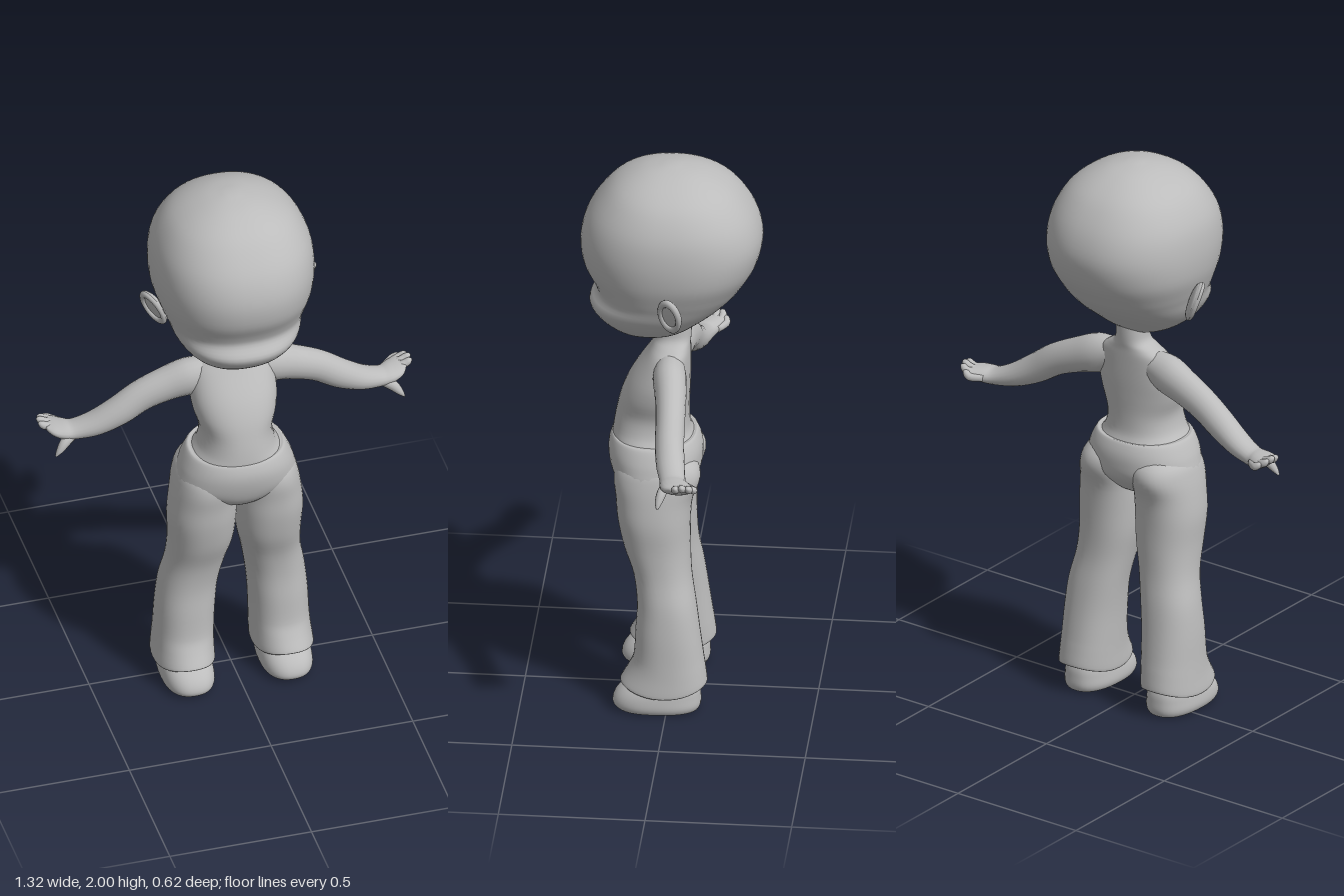
import * as THREE from 'three';

const clay = new THREE.MeshStandardMaterial({ color: 0xbcbcbc });
clay.name = 'clay grey';

// Smoothly interpolate rows of numbers, `steps` samples between rows
function smoothRows(rows, steps = 4) {
  const out = [];
  const at = (i) => rows[Math.min(rows.length - 1, Math.max(0, i))];
  for (let i = 0; i < rows.length - 1; i++) {
    for (let k = 0; k < steps; k++) {
      const t = k / steps;
      out.push(rows[i].map((p, j) => {
        const q = at(i + 1)[j], m0 = (q - at(i - 1)[j]) / 2, m1 = (at(i + 2)[j] - p) / 2;
        const c = 3 * (q - p) - 2 * m0 - m1, d = 2 * (p - q) + m0 + m1;
        return p + t * (m0 + t * (c + t * d));
      }));
    }
  }
  out.push(rows[rows.length - 1]);
  return out;
}

function flip(geo) {
  const a = geo.index.array;
  for (let i = 0; i < a.length; i += 3) [a[i], a[i + 1]] = [a[i + 1], a[i]];
  return geo;
}

// Skin a closed surface over rings of Vector3, facing outward
function skin(rings) {
  const n = rings[0].length, pts = rings.flat(), idx = [];
  for (let r = 0; r < rings.length - 1; r++) {
    for (let i = 0; i < n; i++) {
      const a = r * n + i, b = r * n + (i + 1) % n;
      idx.push(a, b, a + n, b, b + n, a + n);
    }
  }
  [0, rings.length - 1].forEach((r) => {
    const mid = new THREE.Vector3();
    rings[r].forEach((p) => mid.addScaledVector(p, 1 / n));
    const c = pts.push(mid) - 1;
    for (let i = 0; i < n; i++) {
      const a = r * n + i, b = r * n + (i + 1) % n;
      if (r === 0) idx.push(c, b, a); else idx.push(c, a, b);
    }
  });
  let volume = 0;
  const cross = new THREE.Vector3();
  for (let i = 0; i < idx.length; i += 3) {
    volume += pts[idx[i]].dot(cross.crossVectors(pts[idx[i + 1]], pts[idx[i + 2]]));
  }
  const geo = new THREE.BufferGeometry().setFromPoints(pts);
  geo.setIndex(idx);
  if (volume < 0) flip(geo);
  geo.computeVertexNormals();
  return geo;
}

const spow = (v, e) => Math.sign(v) * Math.abs(v) ** e;

// Upright body; rows: y, centre x, half width, back z, front z, z of widest point
function upright(rows, power = 2.2, lift = () => 0, sides = 40) {
  return skin(smoothRows(rows).map(([y, cx, hx, zb, zf, zc]) =>
    Array.from({ length: sides }, (_, i) => {
      const a = (i / sides) * Math.PI * 2;
      const s = spow(Math.sin(a), 2 / power);
      return new THREE.Vector3(cx + hx * spow(Math.cos(a), 2 / power),
        y + lift(y, s), zc + s * (s > 0 ? zf - zc : zc - zb));
    })));
}

// Limb; rows: x, y, z, radius across the limb in the xy plane, radius along z
function limb(rows, sides = 20) {
  const path = smoothRows(rows);
  return skin(path.map(([x, y, z, ru, rz], k) => {
    const p = path[Math.max(0, k - 1)], q = path[Math.min(path.length - 1, k + 1)];
    const len = Math.hypot(q[0] - p[0], q[1] - p[1]) || 1;
    const ux = -(q[1] - p[1]) / len, uy = (q[0] - p[0]) / len;
    return Array.from({ length: sides }, (_, i) => {
      const a = (i / sides) * Math.PI * 2, u = ru * Math.cos(a);
      return new THREE.Vector3(x + ux * u, y + uy * u, z + rz * Math.sin(a));
    });
  }));
}

export function createModel() {
  const model = new THREE.Group();
  model.name = 'figure';
  const add = (name, geo) => {
    const mesh = new THREE.Mesh(geo, clay);
    mesh.name = name;
    model.add(mesh);
  };
  const addPair = (name, geo) => {
    add('left' + name, geo);
    const other = flip(geo.clone().scale(-1, 1, 1));
    other.computeVertexNormals();
    add('right' + name, other);
  };

  // Large head with a small muzzle
  add('head', upright([
    [2.0, 0, 0.02, -0.02, 0.02, 0], [1.985, 0, 0.09, -0.1, 0.1, 0],
    [1.95, 0, 0.165, -0.175, 0.175, 0], [1.9, 0, 0.222, -0.235, 0.23, 0],
    [1.82, 0, 0.264, -0.288, 0.285, 0], [1.73, 0, 0.277, -0.31, 0.31, 0],
    [1.64, 0, 0.27, -0.29, 0.3, 0], [1.57, 0, 0.248, -0.25, 0.265, 0.02],
    [1.53, 0, 0.232, -0.22, 0.255, 0.03], [1.485, 0, 0.215, -0.175, 0.28, 0.05],
    [1.44, 0, 0.185, -0.12, 0.255, 0.06], [1.4, 0, 0.142, -0.07, 0.21, 0.07],
    [1.37, 0, 0.085, -0.02, 0.165, 0.08], [1.358, 0, 0.03, 0.06, 0.12, 0.09],
  ], 2.25, undefined, 56));

  // Ears: thin cupped disc with a raised rim
  const earPose = new THREE.Matrix4().compose(
    new THREE.Vector3(0.262, 1.553, -0.02),
    new THREE.Quaternion().setFromEuler(new THREE.Euler(0, -0.55, -0.4, 'ZYX')),
    new THREE.Vector3(1, 1, 1));
  addPair('Ear', new THREE.SphereGeometry(1, 24, 16).scale(0.014, 0.072, 0.045).applyMatrix4(earPose));
  addPair('EarRim', new THREE.TorusGeometry(0.04, 0.01, 10, 32).rotateY(Math.PI / 2)
    .scale(1.2, 1.6, 0.95).translate(0.008, 0, 0).applyMatrix4(earPose));

  // Neck and torso
  add('torso', upright([
    [1.46, 0, 0.056, -0.065, 0.05, -0.01], [1.38, 0, 0.055, -0.067, 0.048, -0.01],
    [1.34, 0, 0.062, -0.066, 0.052, -0.01], [1.315, 0, 0.095, -0.064, 0.064, -0.01],
    [1.28, 0, 0.135, -0.064, 0.085, 0], [1.2, 0, 0.15, -0.064, 0.138, 0.02],
    [1.13, 0, 0.143, -0.062, 0.17, 0.04], [1.06, 0, 0.124, -0.06, 0.188, 0.05],
    [1.0, 0, 0.133, -0.064, 0.198, 0.06], [0.96, 0, 0.158, -0.08, 0.2, 0.06],
    [0.92, 0, 0.16, -0.08, 0.19, 0.06],
  ]));

  // Arms, slightly raised, with open hands
  addPair('Arm', limb([
    [0.06, 1.265, 0, 0.045, 0.045], [0.14, 1.243, -0.005, 0.068, 0.058],
    [0.22, 1.217, -0.015, 0.062, 0.054], [0.31, 1.178, -0.023, 0.056, 0.05],
    [0.39, 1.125, -0.027, 0.052, 0.05], [0.47, 1.082, -0.038, 0.042, 0.049],
    [0.54, 1.062, -0.052, 0.031, 0.045], [0.58, 1.064, -0.064, 0.028, 0.053],
    [0.615, 1.073, -0.078, 0.019, 0.054], [0.635, 1.083, -0.088, 0.008, 0.035],
  ]));
  [[0.622, 1.078, -0.127], [0.643, 1.09, -0.113], [0.651, 1.096, -0.092], [0.65, 1.092, -0.07]]
    .forEach(([x, y, z], i) => addPair('Finger' + (i + 1), limb([
      [0.565, 1.062, z * 0.6 - 0.026, 0.012, 0.012], [x - 0.02, y - 0.012, z, 0.014, 0.014],
      [x, y, z, 0.011, 0.012], [x + 0.009, y + 0.004, z, 0.003, 0.003],
    ], 12)));
  addPair('Thumb', limb([
    [0.53, 1.062, -0.04, 0.018, 0.018], [0.575, 1.04, -0.02, 0.019, 0.018],
    [0.6, 1.013, -0.01, 0.012, 0.013], [0.615, 0.993, -0.006, 0.003, 0.004],
  ], 12));

  // Trouser hips
  add('trouserHips', upright([
    [0.975, 0, 0.155, -0.078, 0.193, 0.06], [0.974, 0, 0.168, -0.088, 0.203, 0.06],
    [0.94, 0, 0.186, -0.102, 0.214, 0.06], [0.9, 0, 0.2, -0.106, 0.214, 0.06],
    [0.85, 0, 0.205, -0.1, 0.203, 0.06], [0.81, 0, 0.15, -0.07, 0.185, 0.06],
    [0.775, 0, 0.08, -0.03, 0.15, 0.06], [0.755, 0, 0.02, 0.03, 0.09, 0.06],
  ]));

  // Flared trouser legs; the hem arches over the toe and heel
  const hem = (y, s) => 0.028 * s * s * Math.max(0, 1 - (y - 0.08) / 0.12);
  addPair('TrouserLeg', upright([
    [0.94, 0.1, 0.05, -0.05, 0.13, 0.05], [0.9, 0.1, 0.096, -0.095, 0.175, 0.05],
    [0.85, 0.108, 0.106, -0.106, 0.188, 0.05], [0.78, 0.114, 0.113, -0.082, 0.181, 0.05],
    [0.7, 0.118, 0.117, -0.075, 0.174, 0.05], [0.6, 0.12, 0.111, -0.075, 0.153, 0.04],
    [0.5, 0.133, 0.102, -0.08, 0.119, 0.02], [0.4, 0.152, 0.102, -0.096, 0.105, 0],
    [0.3, 0.163, 0.102, -0.11, 0.109, 0], [0.2, 0.168, 0.102, -0.124, 0.115, 0],
    [0.14, 0.171, 0.103, -0.131, 0.134, 0], [0.08, 0.174, 0.105, -0.136, 0.16, 0.01],
    [0.085, 0.174, 0.095, -0.126, 0.148, 0.01],
  ], 2.2, hem));

  // Rounded shoes
  addPair('Shoe', upright([
    [0, 0.173, 0.06, -0.085, 0.145, 0.05], [0.005, 0.173, 0.08, -0.105, 0.17, 0.05],
    [0.025, 0.173, 0.09, -0.115, 0.186, 0.05], [0.055, 0.173, 0.089, -0.115, 0.178, 0.05],
    [0.085, 0.173, 0.082, -0.112, 0.15, 0.03], [0.12, 0.173, 0.065, -0.1, 0.09, 0],
  ], 2.4));

  return model;
}
